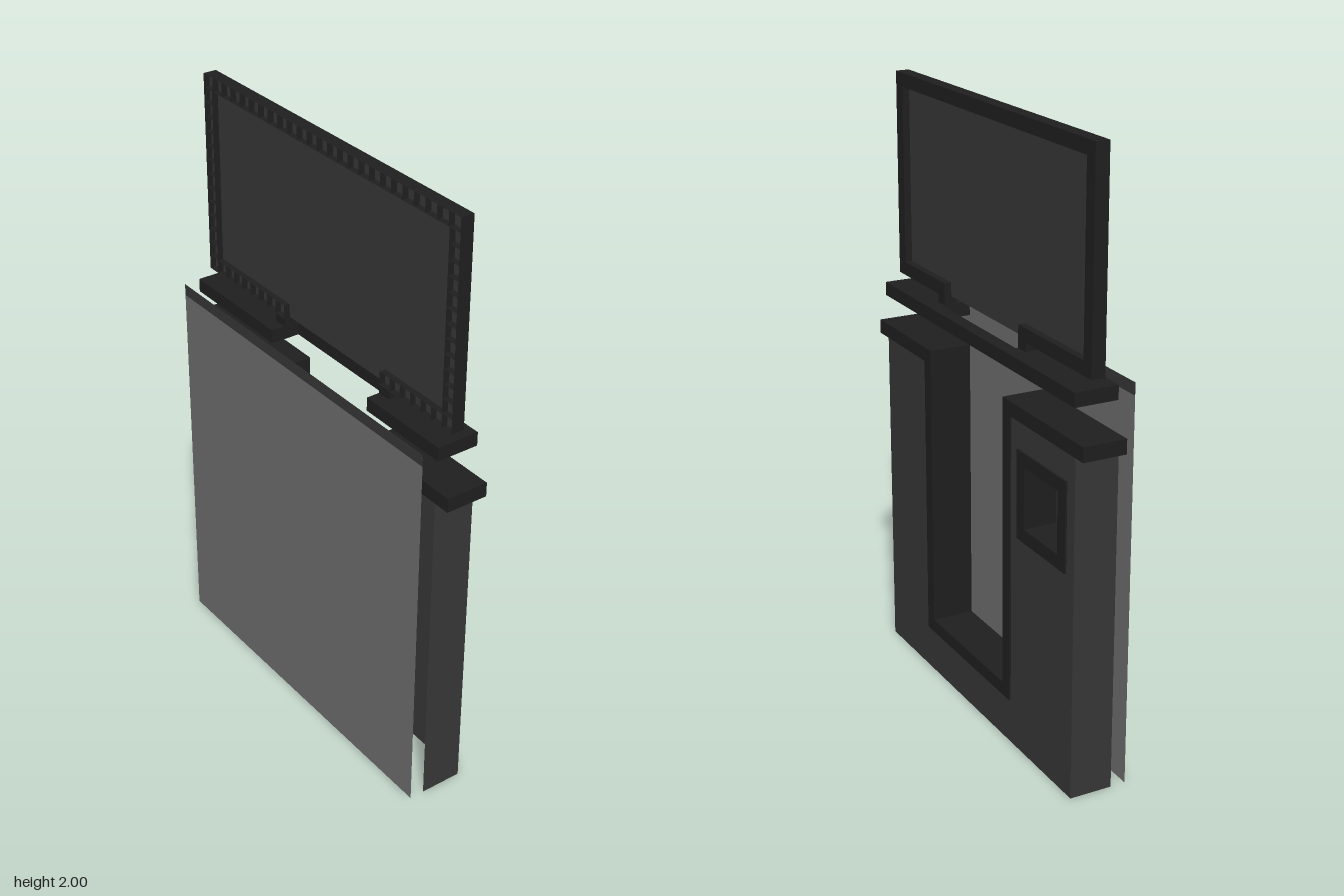
import * as THREE from 'three';

const brickMat = new THREE.MeshStandardMaterial({ color: 0x1e1e1e, side: THREE.DoubleSide });
const wallMat = new THREE.MeshStandardMaterial({ color: 0x363636, side: THREE.DoubleSide });
const panelMat = new THREE.MeshStandardMaterial({ color: 0x6c6c6c, side: THREE.DoubleSide });

const B = 0.045; // brick thickness

// A row of bricks filling the box between two corners, split along one axis;
// hollow bricks have no front face
function brickRow(name, min, max, axis, hollow = false) {
  const row = new THREE.Group();
  row.name = name;
  const size = max.map((v, i) => v - min[i]);
  const n = Math.max(1, Math.round(size[axis] / 0.05));
  const len = size[axis] / n;
  const dims = [...size];
  dims[axis] = len;
  const geo = new THREE.BoxGeometry(...dims);
  if (hollow) {
    const index = Array.from(geo.index.array);
    index.splice(24, 6); // the +z face
    geo.setIndex(index);
    geo.clearGroups();
  }
  for (let i = 0; i < n; i++) {
    const pos = min.map((v, k) => v + size[k] / 2);
    pos[axis] = min[axis] + len * (i + 0.5);
    const brick = new THREE.Mesh(geo, brickMat);
    brick.name = 'brick';
    brick.position.set(...pos);
    row.add(brick);
  }
  return row;
}

function sheet(name, x0, x1, y0, y1, z, mat) {
  const m = new THREE.Mesh(new THREE.PlaneGeometry(x1 - x0, y1 - y0), mat);
  m.name = name;
  m.position.set((x0 + x1) / 2, (y0 + y1) / 2, z);
  return m;
}

export function createModel() {
  const model = new THREE.Group();
  model.name = 'wallSection';
  const W = 0.624, zb = -0.098, zf = 0.045;
  const nx0 = -0.245, nx1 = 0.335, ny = 0.15;             // doorway outline
  const hx0 = -0.58, hx1 = -0.29, hy0 = 0.73, hy1 = 1.02; // small window outline

  // Front panel with a dark strip along the top
  model.add(sheet('frontPanel', -W, W, 0, 1.26, 0.1, panelMat));
  model.add(sheet('frontPanelStrip', -W, W, 1.26, 1.3, 0.1, wallMat));

  // Back wall, open doorway and square window (drawn mirrored, then turned to face back)
  const toPath = (path, pts) => {
    pts.forEach(([x, y], i) => (i ? path.lineTo(-x, y) : path.moveTo(-x, y)));
    path.closePath();
    return path;
  };
  const outline = toPath(new THREE.Shape(), [
    [-W, 0], [W, 0], [W, 1.11], [nx1, 1.11], [nx1, ny], [nx0, ny], [nx0, 1.11], [-W, 1.11],
  ]);
  outline.holes.push(toPath(new THREE.Path(), [[hx0, hy0], [hx0, hy1], [hx1, hy1], [hx1, hy0]]));
  const wall = new THREE.Mesh(new THREE.ShapeGeometry(outline).rotateY(Math.PI), wallMat);
  wall.name = 'backWall';
  wall.position.z = -0.092;
  model.add(wall);

  // End walls
  for (const s of [-1, 1]) {
    const end = new THREE.Mesh(new THREE.PlaneGeometry(0.142, 1.11), wallMat);
    end.name = s > 0 ? 'leftEndWall' : 'rightEndWall';
    end.rotation.y = (s * Math.PI) / 2;
    end.position.set(s * W, 0.555, -0.021);
    model.add(end);
  }

  // Doorway lining
  model.add(brickRow('doorwayRightLining', [nx0, ny, zb], [nx0 + B, 1.11, zf], 1));
  model.add(brickRow('doorwayLeftLining', [nx1 - B, ny, zb], [nx1, 1.11, zf], 1));
  model.add(brickRow('doorwayThreshold', [nx0 + B, ny, zb], [nx1 - B, ny + B, zf], 0));

  // Small window lining and pane
  model.add(brickRow('windowSill', [hx0, hy0, zb], [hx1, hy0 + B, zf], 0));
  model.add(brickRow('windowLintel', [hx0, hy1 - B, zb], [hx1, hy1, zf], 0));
  model.add(brickRow('windowRightJamb', [hx0, hy0 + B, zb], [hx0 + B, hy1 - B, zf], 1));
  model.add(brickRow('windowLeftJamb', [hx1 - B, hy0 + B, zb], [hx1, hy1 - B, zf], 1));
  model.add(sheet('windowPane', hx0 + B, hx1 - B, hy0 + B, hy1 - B, 0.015, wallMat));

  // Wall caps, upper ledges and the thin beam joining the ledges
  const ix0 = nx0 + B, ix1 = nx1 - B;
  model.add(brickRow('rightWallCap', [-0.675, 1.11, zb], [ix0, 1.157, zf], 0));
  model.add(brickRow('leftWallCap', [ix1, 1.11, zb], [0.675, 1.157, zf], 0));
  model.add(brickRow('rightLedge', [-W, 1.257, zb], [ix0, 1.302, zf], 0));
  model.add(brickRow('leftLedge', [ix1, 1.257, zb], [W, 1.302, zf], 0));
  model.add(brickRow('ledgeBeam', [ix0, 1.257, zb], [ix1, 1.302, zb + B], 0));

  // Upper screen: pane, hollow-fronted frame and the two feet standing on the ledges
  const f0 = -0.045, f1 = 0, y0 = 1.33, y1 = 2;
  model.add(sheet('screenPane', -W, W, y0, y1, -0.021, wallMat));
  model.add(brickRow('screenTopRail', [-W, y1 - B, f0], [W, y1, f1], 0, true));
  model.add(brickRow('screenRightStile', [-W, y0, f0], [-W + B, y1 - B, f1], 1, true));
  model.add(brickRow('screenLeftStile', [W - B, y0, f0], [W, y1 - B, f1], 1, true));
  model.add(brickRow('screenRightBottomRail', [-W + B, y0, f0], [ix0, y0 + B, f1], 0, true));
  model.add(brickRow('screenLeftBottomRail', [ix1, y0, f0], [W - B, y0 + B, f1], 0, true));
  model.add(brickRow('screenRightFoot', [nx0, 1.302, f0], [ix0, y0, f1], 1));
  model.add(brickRow('screenLeftFoot', [ix1, 1.302, f0], [nx1, y0, f1], 1));

  return model;
}
